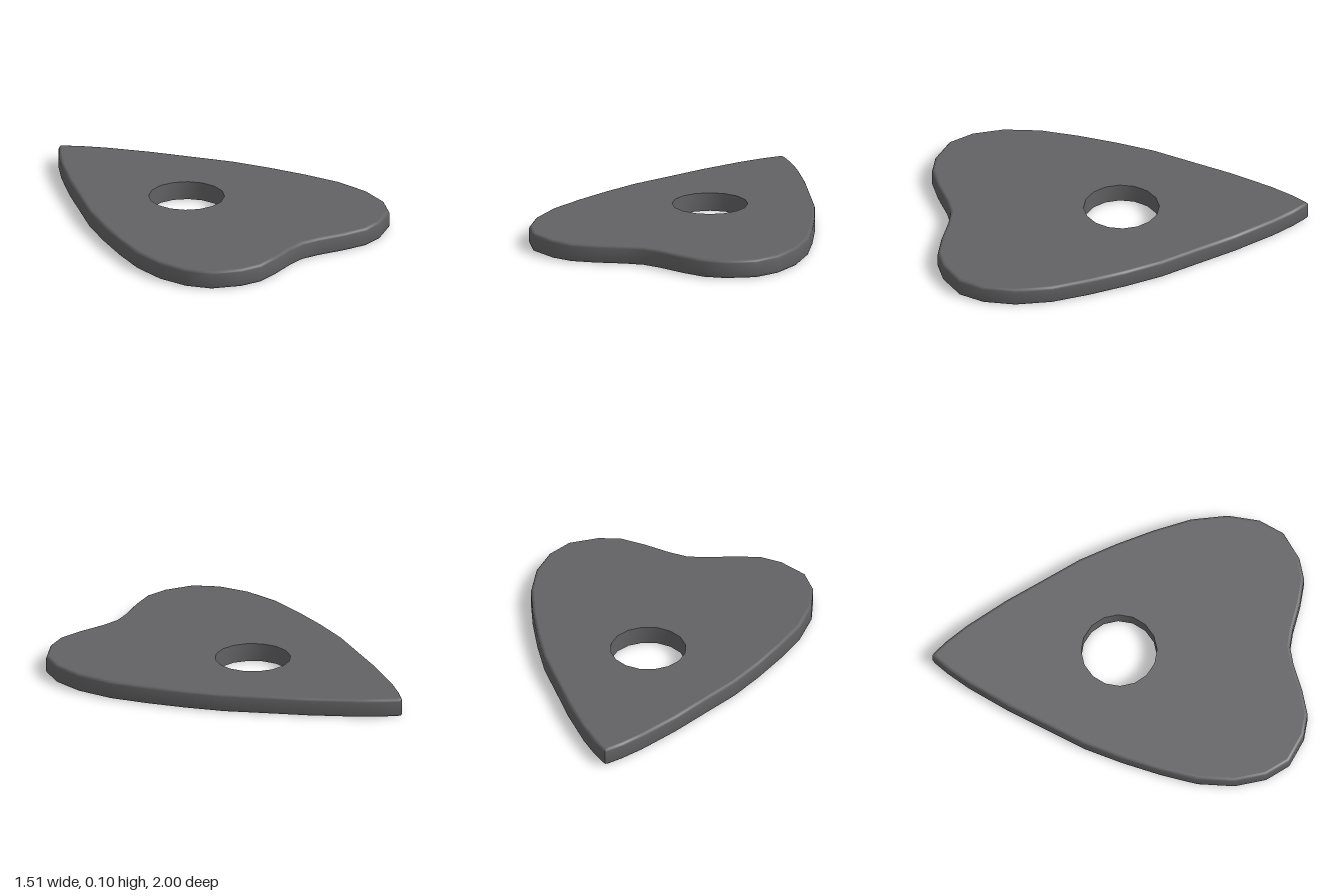
import * as THREE from 'three';
import { mergeGeometries, mergeVertices, toCreasedNormals } from 'three/addons/utils/BufferGeometryUtils.js';

const HEIGHT = 0.1;
const BEVEL = 0.015;

// Half outline from the notch at the front to the pointed tip at the back, as [x, z]
const HALF = [
  [0, 0.915], [0.1, 0.932], [0.25, 0.975], [0.385, 1], [0.505, 0.977], [0.65, 0.895],
  [0.725, 0.77], [0.757, 0.6], [0.74, 0.4], [0.682, 0.2], [0.61, 0], [0.525, -0.2],
  [0.412, -0.4], [0.3, -0.6], [0.165, -0.81], [0.08, -0.92], [0.02, -0.985], [0, -1],
];

// Moves each corner of a counterclockwise outline inwards by d
function inset(points, d) {
  const n = points.length;
  return points.map((p, i) => {
    const a = p.clone().sub(points[(i + n - 1) % n]).normalize();
    const b = points[(i + 1) % n].clone().sub(p).normalize();
    const mitre = new THREE.Vector2(-a.y - b.y, a.x + b.x).normalize();
    const scale = Math.min(1.6, 1 / (mitre.y * a.x - mitre.x * a.y));
    return p.clone().addScaledVector(mitre, d * scale);
  });
}

// Joins stacked rings of equal point count into a wall
function loft(rings) {
  const n = rings[0].points.length;
  const positions = [];
  const index = [];
  rings.forEach(({ points, z }) => points.forEach((p) => positions.push(p.x, p.y, z)));
  for (let r = 0; r < rings.length - 1; r++) {
    for (let i = 0; i < n; i++) {
      const a = r * n + i;
      const b = r * n + (i + 1) % n;
      index.push(a, b, b + n, a, b + n, a + n);
    }
  }
  const geometry = new THREE.BufferGeometry();
  geometry.setAttribute('position', new THREE.Float32BufferAttribute(positions, 3));
  geometry.setIndex(index);
  return toCreasedNormals(mergeVertices(geometry), 0.9);
}

export function createModel() {
  const group = new THREE.Group();
  group.name = 'pointer';
  const grey = new THREE.MeshStandardMaterial({ color: 0x626264 });
  grey.name = 'dark grey';

  const right = HALF.map(([x, z]) => new THREE.Vector2(x, -z));
  const left = right.slice(1, -1).reverse().map((p) => new THREE.Vector2(-p.x, p.y));
  const outline = [...right, ...left];

  // Rounded outer rim
  const rings = [];
  const steps = 3;
  for (let i = 0; i <= steps; i++) {
    const t = (i / steps) * Math.PI / 2;
    rings.push({ points: inset(outline, BEVEL * (1 - Math.sin(t))), z: BEVEL * (1 - Math.cos(t)) });
  }
  const upper = rings.map(({ points, z }) => ({ points, z: HEIGHT - z })).reverse();
  const rim = loft([...rings, ...upper]);

  // Sixteen-sided round window, running clockwise so its wall faces inwards
  const hole = Array.from({ length: 16 }, (_, i) => {
    const t = -i * Math.PI / 8;
    return new THREE.Vector2(0.203 * Math.cos(t), 0.203 * Math.sin(t));
  });
  const holeWall = loft([{ points: hole, z: 0 }, { points: hole, z: HEIGHT }]);

  // Flat top and underside
  const face = new THREE.Shape(inset(outline, BEVEL));
  face.holes.push(new THREE.Path(hole));
  const top = new THREE.ShapeGeometry(face).translate(0, 0, HEIGHT);
  const underside = new THREE.ShapeGeometry(face).rotateY(Math.PI);

  const parts = [rim, holeWall, top, underside].map((g) => {
    const flat = g.index ? g.toNonIndexed() : g;
    flat.deleteAttribute('uv');
    return flat;
  });
  const body = new THREE.Mesh(mergeGeometries(parts).rotateX(-Math.PI / 2), grey);
  body.name = 'body';
  group.add(body);
  return group;
}
